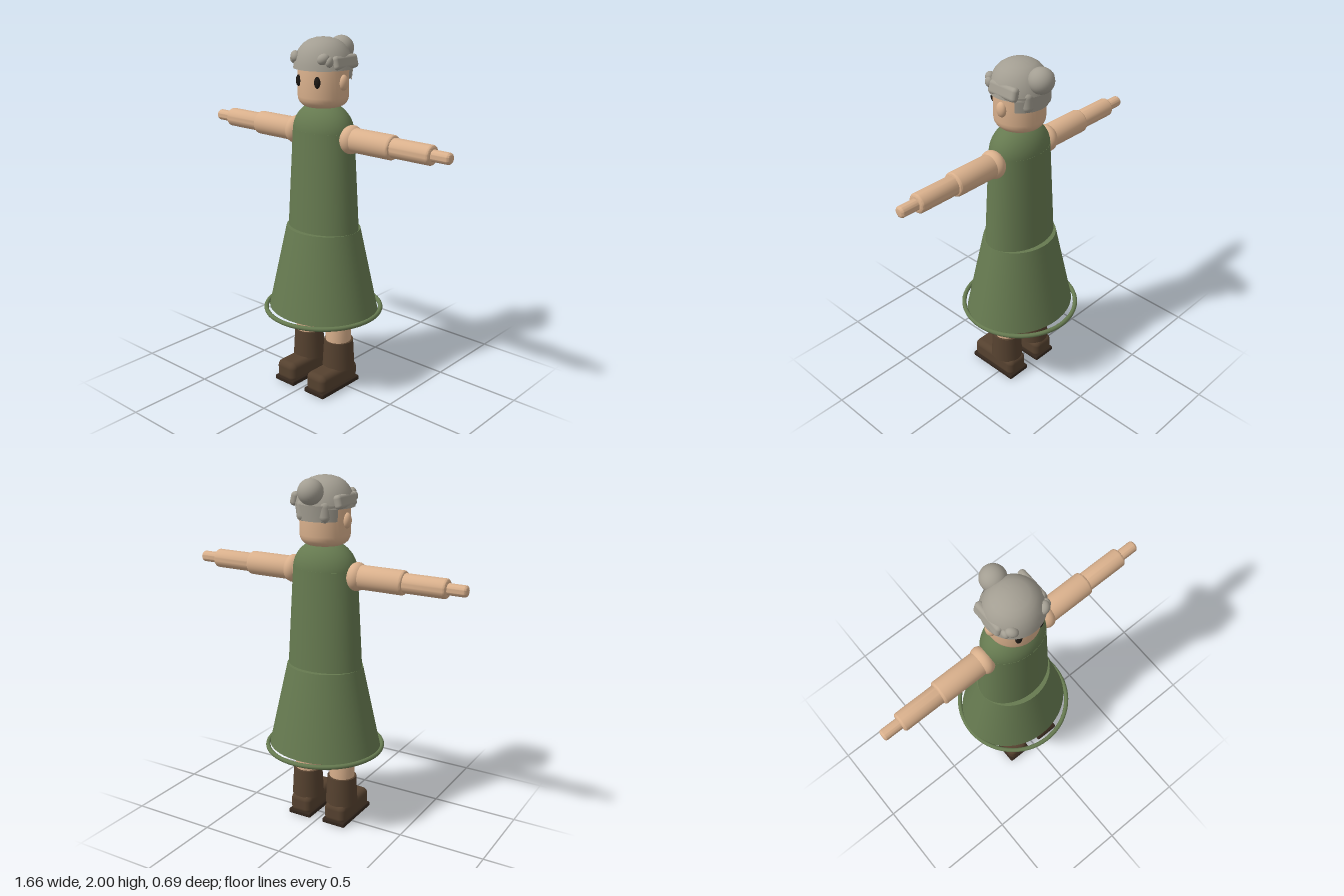
import * as THREE from 'three';
import { toCreasedNormals } from 'three/addons/utils/BufferGeometryUtils.js';
import { RoundedBoxGeometry } from 'three/addons/geometries/RoundedBoxGeometry.js';

const mat = (color) => new THREE.MeshStandardMaterial({ color });

export function createModel() {
  const skin = mat(0xd9b08c), dress = mat(0x667a50), hair = mat(0xa39e92);
  const boot = mat(0x55412f), soleMat = mat(0x33261c), dark = mat(0x1c1814);
  const model = new THREE.Group();
  model.name = 'figure';

  const add = (parent, name, geometry, material, x = 0, y = 0, z = 0) => {
    const mesh = new THREE.Mesh(geometry, material);
    mesh.name = name;
    mesh.position.set(x, y, z);
    parent.add(mesh);
    return mesh;
  };
  const ball = (rx, ry, rz) => new THREE.SphereGeometry(1, 32, 20).scale(rx, ry, rz);
  const lathe = (points, segments = 40) => toCreasedNormals(
    new THREE.LatheGeometry(points.map(([r, y]) => new THREE.Vector2(r, y)), segments), 0.7);
  // Closed solid with rounded rims, standing from y0 to y1
  const roundedRod = (r, y0, y1, bevel) => {
    const points = [[0, y0]];
    for (let i = 0; i <= 5; i++) {
      const a = i / 5 * Math.PI / 2;
      points.push([r - bevel + bevel * Math.sin(a), y0 + bevel - bevel * Math.cos(a)]);
    }
    for (let i = 0; i <= 5; i++) {
      const a = i / 5 * Math.PI / 2;
      points.push([r - bevel + bevel * Math.cos(a), y1 - bevel + bevel * Math.sin(a)]);
    }
    points.push([0, y1]);
    return lathe(points);
  };

  // Dress: elliptical skirt, hem ring, bodice and domed shoulders
  add(model, 'skirt', new THREE.CylinderGeometry(0.22, 0.33, 0.49, 56).scale(1, 1, 0.87), dress, 0, 0.705, 0);
  add(model, 'hemRing', new THREE.TorusGeometry(0.33, 0.013, 10, 64).rotateX(Math.PI / 2), dress, 0, 0.461, 0);
  add(model, 'bodice', new THREE.CylinderGeometry(0.187, 0.22, 0.56, 48).scale(1, 1, 0.745), dress, 0, 1.225, 0);
  add(model, 'shoulders',
    new THREE.SphereGeometry(1, 40, 14, 0, Math.PI * 2, 0, Math.PI / 2).scale(0.187, 0.165, 0.139), dress, 0, 1.495, 0);

  // Head: bevelled drum with face and ears
  add(model, 'head', roundedRod(0.138, 1.632, 1.9, 0.058), skin);
  for (const s of [-1, 1]) {
    add(model, s > 0 ? 'leftEye' : 'rightEye', ball(0.018, 0.031, 0.015), dark, s * 0.065, 1.777, 0.122);
    add(model, s > 0 ? 'leftEar' : 'rightEar', ball(0.024, 0.042, 0.03), skin, s * 0.137, 1.77, -0.005);
  }

  // Hair: cap, nape, bun, side rolls and front curls
  add(model, 'hairCap', lathe([
    [0, 1.838], [0.163, 1.838], [0.159, 1.865], [0.15, 1.9], [0.132, 1.938], [0.108, 1.966],
    [0.08, 1.984], [0.042, 1.996], [0, 2],
  ]).scale(1, 1, 0.98), hair);
  const nape = new THREE.CylinderGeometry(0.158, 0.148, 0.085, 32, 1, true, Math.PI * 0.68, Math.PI * 0.64);
  const napeMat = mat(0xa39e92);
  napeMat.side = THREE.DoubleSide;
  add(model, 'napeHair', nape, napeMat, 0, 1.815, -0.005);
  add(model, 'napeRoll', new RoundedBoxGeometry(0.2, 0.12, 0.075, 4, 0.035), hair, 0, 1.825, -0.109);
  add(model, 'bun', ball(0.069, 0.069, 0.069), hair, 0, 1.927, -0.147);
  for (const s of [-1, 1]) {
    const side = s > 0 ? 'left' : 'right';
    const roll = add(model, side + 'HairRoll', new RoundedBoxGeometry(0.045, 0.075, 0.185, 4, 0.02), hair,
      s * 0.133, 1.876, -0.018);
    roll.rotation.z = s * 0.25;
    const curl = add(model, side + 'FrontCurl', ball(0.034, 0.028, 0.026), hair, s * 0.098, 1.9, 0.112);
    curl.rotation.set(0, s * 0.7, s * 0.5);
    add(model, side + 'TempleCurl', ball(0.018, 0.027, 0.024), hair, s * 0.125, 1.885, 0.094);
  }

  // Arms: shoulder, upper arm, forearm and hand along x
  for (const s of [-1, 1]) {
    const arm = new THREE.Group();
    arm.name = s > 0 ? 'leftArm' : 'rightArm';
    arm.position.y = 1.475;
    arm.rotation.z = -s * Math.PI / 2;
    model.add(arm);
    add(arm, 'shoulder', ball(0.078, 0.055, 0.078), skin, 0, 0.2, 0);
    add(arm, 'upperArm', roundedRod(0.066, 0.16, 0.485, 0.015), skin);
    add(arm, 'forearm', roundedRod(0.053, 0.45, 0.725, 0.015), skin);
    add(arm, 'hand', roundedRod(0.031, 0.69, 0.83, 0.014), skin);
  }

  // Legs with flared boots
  for (const s of [-1, 1]) {
    const leg = new THREE.Group();
    leg.name = s > 0 ? 'leftLeg' : 'rightLeg';
    leg.position.x = s * 0.115;
    model.add(leg);
    add(leg, 'calf', roundedRod(0.073, 0.15, 0.465, 0.025), skin);
    add(leg, 'bootShaft', new THREE.CylinderGeometry(0.084, 0.093, 0.165, 36), boot, 0, 0.202, -0.003);
    add(leg, 'bootFoot', new RoundedBoxGeometry(0.138, 0.118, 0.315, 4, 0.035), boot, 0, 0.07, 0.055);
    add(leg, 'bootSole', new RoundedBoxGeometry(0.148, 0.03, 0.325, 3, 0.01), soleMat, 0, 0.015, 0.055);
  }
  return model;
}
